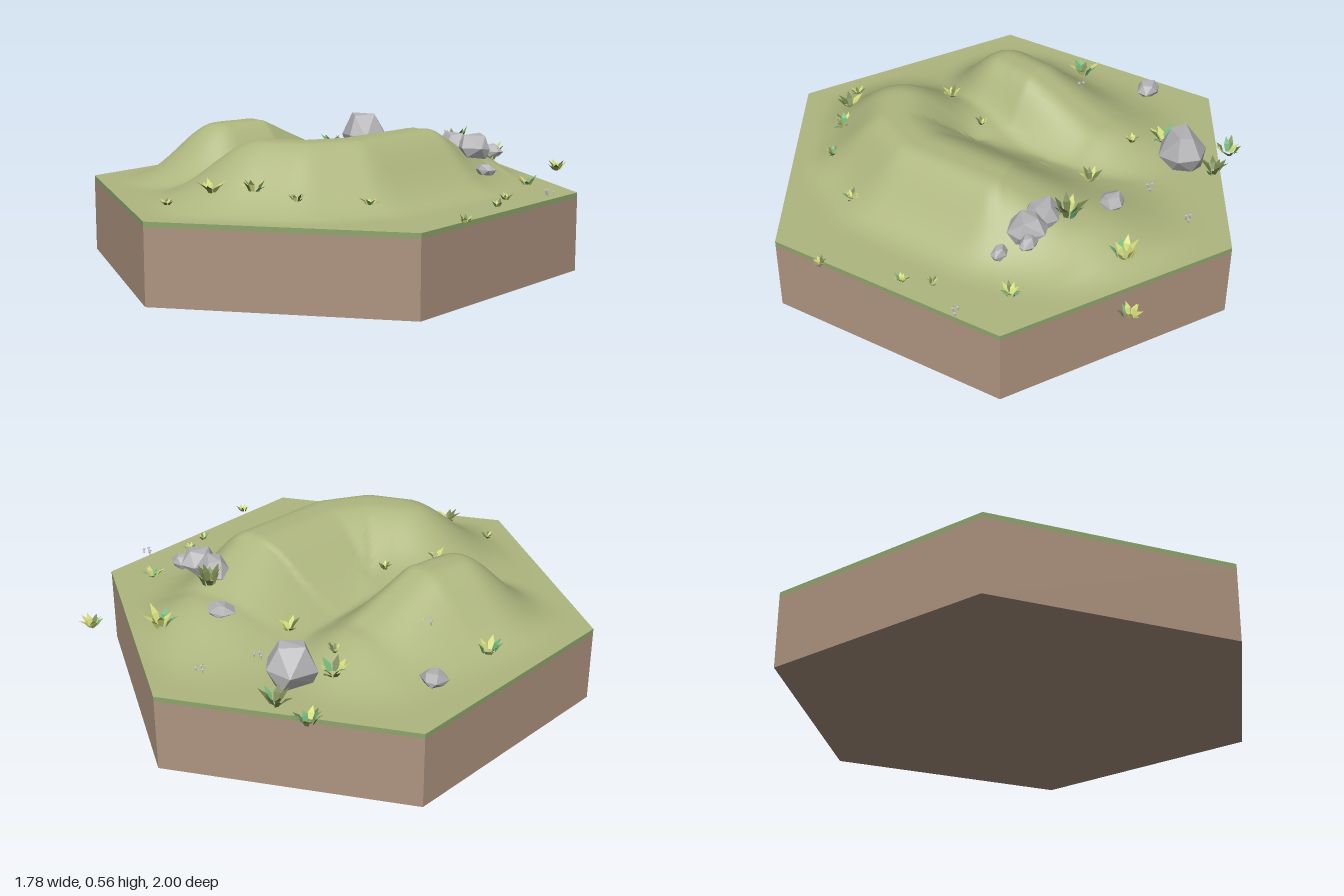
import * as THREE from 'three';
import { mergeVertices, mergeGeometries } from 'three/addons/utils/BufferGeometryUtils.js';
import { ConvexGeometry } from 'three/addons/geometries/ConvexGeometry.js';

const CX = -0.027, GROUND = 0.315;

function makeRandom(seed) {
  return () => {
    seed = (seed * 16807) % 2147483647;
    return seed / 2147483647;
  };
}
const smooth = (t) => { t = Math.min(1, Math.max(0, t)); return t * t * (3 - 2 * t); };

// Crest lines: x, z, height above the flat ground; slopes differ to either side
const LEFT_RIDGE = {
  west: 0.58, east: 0.37,
  crest: [[0.07, 0.45, 0.24], [0.2, 0.38, 0.24], [0.29, 0.22, 0.24], [0.31, -0.18, 0.24], [0.24, -0.48, 0.11]],
};
const RIGHT_RIDGE = {
  west: 0.48, east: 0.3,
  crest: [[-0.4, 0.22, 0.24], [-0.37, 0.06, 0.24], [-0.35, -0.25, 0.1]],
};

// Slope falling away from the nearest point of a crest line
function ridgeHeight(x, z, { west, east, crest }) {
  let best = Infinity, height = 0;
  for (let i = 0; i < crest.length - 1; i++) {
    const [ax, az, ah] = crest[i], [bx, bz, bh] = crest[i + 1];
    const dx = bx - ax, dz = bz - az;
    const t = Math.min(1, Math.max(0, ((x - ax) * dx + (z - az) * dz) / (dx * dx + dz * dz)));
    const ox = x - ax - t * dx, d = Math.hypot(ox, z - az - t * dz);
    if (d >= best) continue;
    best = d;
    const width = THREE.MathUtils.lerp(west, east, 0.5 + (0.5 * ox) / (d + 1e-6));
    height = (ah + (bh - ah) * t) * smooth(1 - (d - 0.03) / width) ** 1.7;
  }
  return height;
}

// Both ridges and the saddle between them, blended
function hillHeight(x, z) {
  const a = ridgeHeight(x, z, LEFT_RIDGE);
  const b = ridgeHeight(x, z, RIGHT_RIDGE);
  const c = 0.095 * Math.exp(-((x + 0.16) ** 2) / 0.05 - (z - 0.28) ** 2 / 0.07);
  return Math.min(0.24, (a ** 4 + b ** 4 + c ** 4) ** 0.25);
}

// Disc grid stretched to a hexagon, then raised by the hill rule
function terrainGeometry() {
  const g = new THREE.RingGeometry(0.0005, 1, 120, 40);
  g.rotateX(-Math.PI / 2);
  g.deleteAttribute('uv');
  g.deleteAttribute('normal');
  const p = g.attributes.position, sector = Math.PI / 3;
  for (let i = 0; i < p.count; i++) {
    const x = p.getX(i), z = p.getZ(i), r = Math.hypot(x, z);
    const a = Math.atan2(z, x) + Math.PI * 2 + sector / 2;
    const k = Math.cos(sector / 2) / Math.cos((a % sector) - sector / 2);
    const hx = x * k + CX, hz = z * k;
    p.setXYZ(i, hx, GROUND + hillHeight(hx, hz) * Math.min(1, (1 - r) * 7), hz);
  }
  const merged = mergeVertices(g, 1e-5);
  merged.computeVertexNormals();
  return merged;
}

// Angular stone: hull of a few jittered rings, narrower at the top
function rockGeometry(rx, ry, rz, seed) {
  const rnd = makeRandom(seed * 7919 + 13), pts = [];
  [[-1, 0.75, 5], [-0.25, 1, 6], [0.85, 0.55, 4]].forEach(([y, r, n], row) => {
    for (let i = 0; i < n; i++) {
      const a = ((i + row * 0.4 + rnd() * 0.5) / n) * Math.PI * 2;
      const s = r * (0.88 + rnd() * 0.24);
      pts.push(new THREE.Vector3(Math.cos(a) * s * rx, (y + (rnd() - 0.5) * 0.3) * ry, Math.sin(a) * s * rz));
    }
  });
  return new ConvexGeometry(pts);
}

// One bent grass blade, made of a lower quad and a pointed tip
function bladeGeometry(angle, start, reach, height, width) {
  const c = Math.cos(angle), s = Math.sin(angle);
  const at = (out, y, side) => [c * out - s * side, y, s * out + c * side];
  const mid = start + reach * 0.35, w = width / 2;
  const v = [at(start, 0, -w * 0.6), at(start, 0, w * 0.6), at(mid, height * 0.55, w),
    at(mid, height * 0.55, -w), at(start + reach, height, 0)];
  const g = new THREE.BufferGeometry();
  g.setAttribute('position', new THREE.Float32BufferAttribute(v.flat(), 3));
  g.setIndex([0, 2, 1, 0, 3, 2, 3, 4, 2]);
  const flat = g.toNonIndexed();
  flat.computeVertexNormals();
  return flat;
}

export function createModel() {
  const model = new THREE.Group();
  const mat = (name, color, side = THREE.FrontSide) => {
    const m = new THREE.MeshStandardMaterial({ color, side });
    m.name = name;
    return m;
  };
  const soil = mat('soil brown', 0xae9480);
  const turf = mat('turf green', 0xaeb67f);
  const edge = mat('turf edge green', 0x8fa56c);
  const stone = mat('stone grey', 0xb2b2b4);
  stone.flatShading = true;
  const blades = [mat('dark grass', 0x707f4a, THREE.DoubleSide),
    mat('light grass', 0xd0da78, THREE.DoubleSide), mat('fresh grass', 0x6cb276, THREE.DoubleSide)];
  const add = (name, geometry, material, x = 0, y = 0, z = 0, parent = model) => {
    const mesh = new THREE.Mesh(geometry, material);
    mesh.name = name;
    mesh.position.set(x, y, z);
    parent.add(mesh);
    return mesh;
  };

  // Hexagonal block with a thin turf edge and the hills on top
  const hexBand = (name, y0, y1, material, open) => {
    const g = new THREE.CylinderGeometry(1, 1, y1 - y0, 6, 1, open).toNonIndexed();
    g.computeVertexNormals();
    add(name, g, material, CX, (y0 + y1) / 2, 0);
  };
  hexBand('soilBlock', 0, 0.295, soil, false);
  hexBand('turfEdge', 0.295, GROUND, edge, true);
  add('hills', terrainGeometry(), turf);

  // Rocks: x, y, z, half sizes
  [[-0.36, 0.44, -0.62, 0.095, 0.075, 0.1], [-0.74, 0.385, -0.28, 0.056, 0.025, 0.05],
    [0.1, 0.45, -0.55, 0.062, 0.022, 0.05], [0.33, 0.475, -0.37, 0.085, 0.045, 0.07],
    [0.43, 0.48, -0.37, 0.08, 0.045, 0.075], [0.49, 0.46, -0.41, 0.045, 0.025, 0.035],
    [0.53, 0.4, -0.31, 0.045, 0.022, 0.03],
  ].forEach(([x, y, z, a, b, c], i) => add('rock', rockGeometry(a, b, c, i + 1), stone, x, y, z));

  // Grass tufts: x, base y, z, radius, height, share of dark blades
  const tufts = [
    [-0.74, 0.35, 0.04, 0.06, 0.055, 0.25], [0.04, 0.385, 0.72, 0.055, 0.05, 0.25],
    [0.18, 0.385, 0.65, 0.055, 0.045, 0.25], [0.34, 0.345, 0.59, 0.035, 0.03, 0.6],
    [0.51, 0.355, 0.38, 0.035, 0.025, 0.3], [-0.12, 0.335, 0.8, 0.03, 0.02, 0.5],
    [-0.2, 0.425, 0.37, 0.04, 0.035, 0.3], [-0.1, 0.42, 0.16, 0.03, 0.025, 0.5],
    [-0.08, 0.35, -0.36, 0.05, 0.04, 0.3], [-0.36, 0.36, -0.4, 0.03, 0.03, 0.5],
    [0.28, 0.345, -0.7, 0.065, 0.075, 0.3], [0.27, 0.455, -0.45, 0.07, 0.08, 0.6],
    [-0.4, 0.335, -0.75, 0.06, 0.06, 0.85], [-0.45, 0.37, -0.5, 0.065, 0.055, 0.3],
    [-0.56, 0.325, -0.74, 0.06, 0.05, 0.25], [0.52, 0.325, -0.85, 0.055, 0.045, 0.2],
    [0.65, 0.335, -0.43, 0.04, 0.035, 0.3], [0.74, 0.325, -0.15, 0.025, 0.025, 0.5],
    [0.78, 0.32, -0.04, 0.03, 0.025, 0.5], [0.86, 0.32, 0.27, 0.03, 0.03, 0.4],
  ];
  tufts.forEach(([x, y, z, radius, height, dark], i) => {
    const rnd = makeRandom(i * 3571 + 101), sets = [[], [], []], count = 9;
    for (let k = 0; k < count; k++) {
      const angle = ((k + rnd() * 0.8) / count) * Math.PI * 2;
      const start = radius * (0.1 + rnd() * 0.35);
      const g = bladeGeometry(angle, start, radius * (0.4 + rnd() * 0.5),
        height * (0.55 + rnd() * 0.5), radius * 0.42);
      sets[rnd() < dark ? 0 : rnd() < 0.75 ? 1 : 2].push(g);
    }
    const tuft = new THREE.Group();
    tuft.name = 'grassTuft';
    tuft.position.set(x, Math.max(y, GROUND + hillHeight(x, z)), z);
    model.add(tuft);
    sets.forEach((set, m) => {
      if (set.length) add('blades', mergeGeometries(set), blades[m], 0, 0, 0, tuft);
    });
  });

  // Tiny grey mushrooms in small clusters
  [[0.83, 0.33, -0.31], [-0.06, 0.345, -0.8], [-0.15, 0.35, -0.59], [-0.53, 0.43, -0.07]]
    .forEach(([x, y, z]) => {
      const cluster = new THREE.Group();
      cluster.name = 'mushrooms';
      cluster.position.set(x, y, z);
      model.add(cluster);
      [[-0.015, 0, 0.022], [0.004, 0.01, 0.026], [0.017, -0.006, 0.02]].forEach(([dx, dz, h]) => {
        add('stem', new THREE.CylinderGeometry(0.002, 0.003, h, 5), stone, dx, h / 2, dz, cluster);
        add('cap', new THREE.ConeGeometry(0.008, 0.006, 6), stone, dx, h, dz, cluster);
      });
    });
  return model;
}
